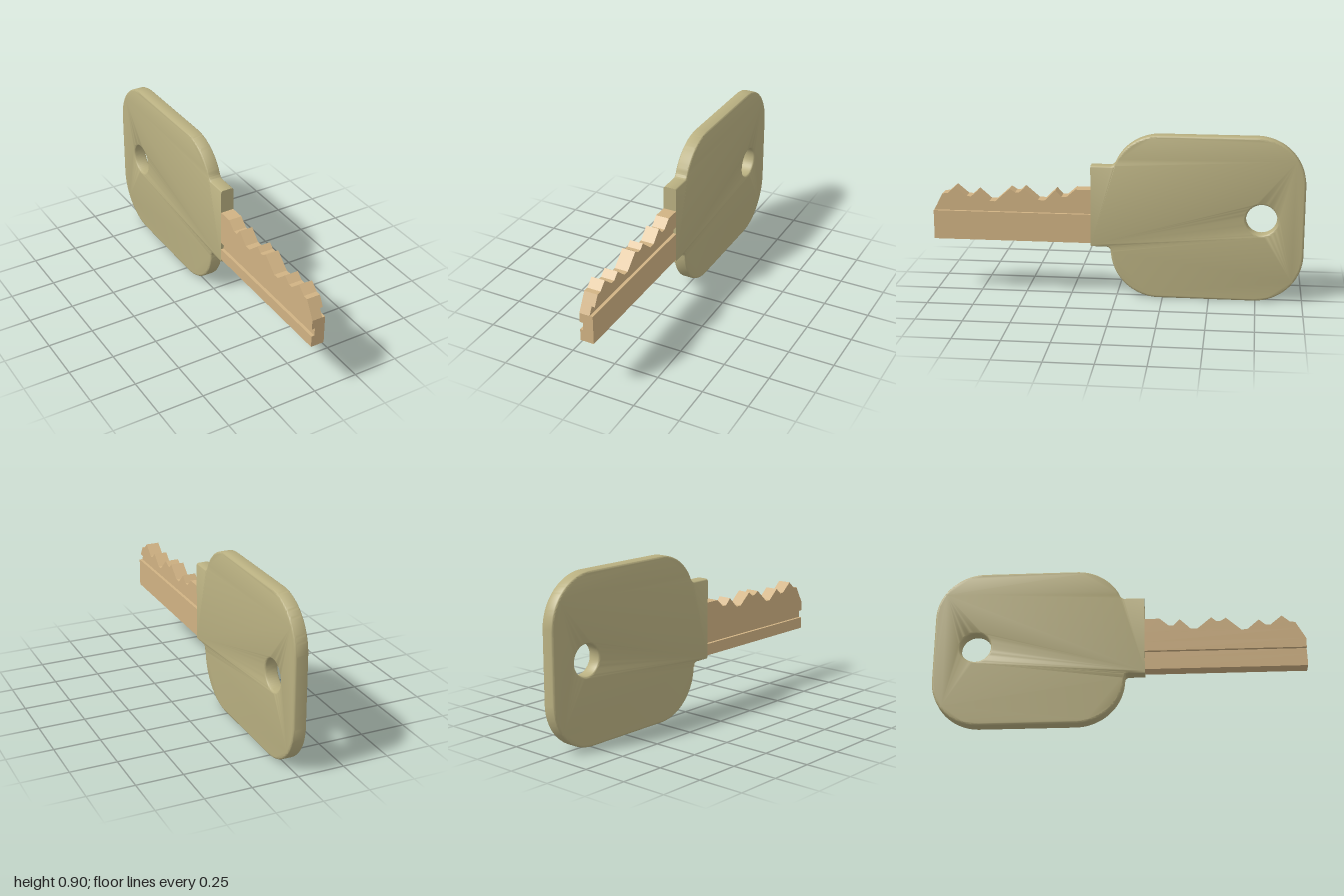
import * as THREE from 'three';
import { toCreasedNormals } from 'three/addons/utils/BufferGeometryUtils.js';

const HALF = 0.037;     // half thickness of the key
const BEVEL = 0.012;    // edge rounding of the bow
const SHOULDER = 0.14;  // z where the bow ends and the blade begins
const GROOVE = 0.017;   // depth of the blade grooves

// Side profiles are drawn as (-z, y), then turned so the thickness runs along x.
function sideways(geometry) {
  return geometry.rotateY(Math.PI / 2);
}

// Bow: rounded rectangle with a stepped shoulder and a ring hole
function bowGeometry() {
  const R = 0.262, P = Math.PI;
  const s = new THREE.Shape();
  s.moveTo(-SHOULDER, 0.278);
  s.lineTo(-0.058, 0.278);
  s.quadraticCurveTo(-0.034, 0.278, -0.032, 0.25);
  s.absarc(0.23, R, R, P, 1.5 * P);
  s.absarc(1 - R, R, R, 1.5 * P, 2 * P);
  s.absarc(1 - R, 0.898 - R, R, 0, 0.5 * P);
  s.absarc(0.23, 0.898 - R, R, 0.5 * P, P - 0.493);
  s.quadraticCurveTo(-0.014, 0.725, -0.032, 0.725);
  s.lineTo(-SHOULDER, 0.725);
  s.closePath();

  const hole = new THREE.Path();
  hole.absarc(0.773, 0.453, 0.083, 0, 2 * P, true);
  s.holes.push(hole);

  const g = new THREE.ExtrudeGeometry(s, {
    depth: 2 * (HALF - BEVEL), curveSegments: 20,
    bevelThickness: BEVEL, bevelSize: BEVEL, bevelOffset: -BEVEL, bevelSegments: 4,
  });
  g.translate(0, 0, BEVEL - HALF);
  sideways(g);

  // Keep the shoulder's front face flat and sharp
  const p = g.attributes.position;
  for (let i = 0; i < p.count; i++) {
    if (p.getZ(i) > SHOULDER - BEVEL - 0.002) p.setZ(i, SHOULDER);
  }
  return toCreasedNormals(g, 0.6);
}

const TIP_Y = 0.457, TEETH_Y = 0.514, TIP_SLOPE = 0.552;
const tipZ = (y) => 1 - Math.max(0, y - TIP_Y) * TIP_SLOPE;

// Blade: grooved cross-section run along z, with a slanted tip
function bladeGeometry() {
  const section = [
    [-HALF, 0.298], [HALF, 0.298],
    [HALF, TIP_Y], [HALF - GROOVE, TIP_Y], [HALF - GROOVE, 0.498], [HALF, 0.498],
    [HALF, TEETH_Y], [-HALF, TEETH_Y], [-HALF, TIP_Y],
    [-HALF, 0.405], [-HALF + GROOVE, 0.405], [-HALF + GROOVE, 0.362], [-HALF, 0.362],
  ].map(([x, y]) => new THREE.Vector2(x, y));
  const g = new THREE.ExtrudeGeometry(new THREE.Shape(section), {
    depth: 1 - SHOULDER, bevelEnabled: false,
  });
  g.translate(0, 0, SHOULDER);
  const p = g.attributes.position;
  for (let i = 0; i < p.count; i++) {
    if (p.getZ(i) > 0.9) p.setZ(i, tipZ(p.getY(i)));
  }
  g.computeVertexNormals();
  return g;
}

// Teeth: cut profile along the top of the blade, as (z, y)
function teethGeometry() {
  const profile = [
    [tipZ(TEETH_Y), TEETH_Y], [0.947, 0.553], [0.92, 0.555], [0.877, 0.593],
    [0.815, 0.541], [0.79, 0.541], [0.754, 0.573], [0.69, 0.517], [0.658, 0.517],
    [0.578, 0.589], [0.548, 0.57], [0.527, 0.57], [0.5, 0.594], [0.425, 0.53],
    [0.388, 0.53], [0.329, 0.588], [0.297, 0.552], [0.27, 0.552], [0.222, 0.594],
    [SHOULDER, 0.594], [SHOULDER, TEETH_Y],
  ].map(([z, y]) => new THREE.Vector2(-z, y));
  const g = new THREE.ExtrudeGeometry(new THREE.Shape(profile), {
    depth: 2 * HALF, bevelEnabled: false,
  });
  g.translate(0, 0, -HALF);
  return sideways(g);
}

export function createModel() {
  const bowMaterial = new THREE.MeshStandardMaterial({ color: 0xb9b081 });
  const bladeMaterial = new THREE.MeshStandardMaterial({ color: 0xd0b283 });
  const key = new THREE.Group();
  key.name = 'key';
  const add = (name, geometry, material) => {
    const mesh = new THREE.Mesh(geometry, material);
    mesh.name = name;
    key.add(mesh);
  };
  add('bow', bowGeometry(), bowMaterial);
  add('blade', bladeGeometry(), bladeMaterial);
  add('teeth', teethGeometry(), bladeMaterial);
  return key;
}
